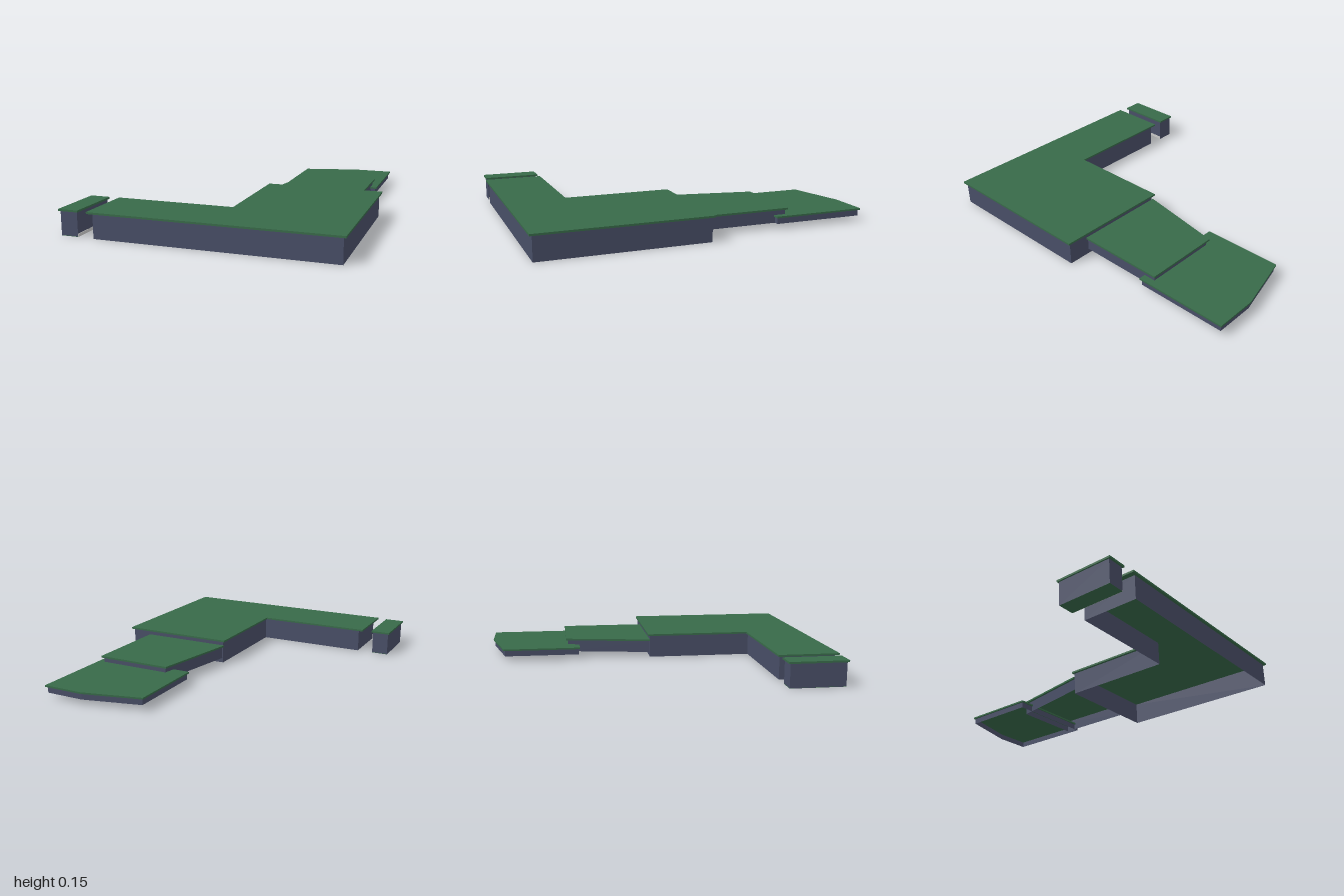
import * as THREE from 'three';

const roofGreen = new THREE.MeshStandardMaterial({ name: 'roofGreen', color: 0x386a49 });
const wallSlate = new THREE.MeshStandardMaterial({ name: 'wallSlate', color: 0x484e66, side: THREE.DoubleSide });
const trimGrey = new THREE.MeshStandardMaterial({ name: 'trimGrey', color: 0xc8c8c8 });

// Flat plate with a plan outline of [x, z] points
function plate(name, outline, y0, y1) {
  const shape = new THREE.Shape(outline.map(([x, z]) => new THREE.Vector2(x, -z)));
  const geo = new THREE.ExtrudeGeometry(shape, { depth: y1 - y0, bevelEnabled: false });
  geo.rotateX(-Math.PI / 2).translate(0, y0, 0);
  const mesh = new THREE.Mesh(geo, roofGreen);
  mesh.name = name;
  return mesh;
}

// Closed ring of thin upright walls, open above and below
function walls(name, outline, y0, y1) {
  const pos = [];
  outline.forEach(([ax, az], i) => {
    const [bx, bz] = outline[(i + 1) % outline.length];
    pos.push(ax, y0, az, bx, y0, bz, bx, y1, bz, ax, y0, az, bx, y1, bz, ax, y1, az);
  });
  const geo = new THREE.BufferGeometry();
  geo.setAttribute('position', new THREE.Float32BufferAttribute(pos, 3));
  geo.computeVertexNormals();
  const mesh = new THREE.Mesh(geo, wallSlate);
  mesh.name = name;
  return mesh;
}

const rect = (x0, x1, z0, z1) => [[x0, z1], [x1, z1], [x1, z0], [x0, z0]];

// Outlines run counter-clockwise seen from above
const wings = [
  {
    name: 'mainWing', base: 0, eave: 0.139, top: 0.15,
    roof: [[-0.615, 1], [0.79, 1], [0.79, 0], [0.085, 0], [0.085, 0.643], [-0.615, 0.643]],
    wall: [[-0.585, 0.985], [0.775, 0.985], [0.775, 0.012], [0.1, 0.012], [0.1, 0.658], [-0.585, 0.658]],
  },
  {
    name: 'middleWing', base: 0.03, eave: 0.104, top: 0.115,
    roof: [[0.092, 0.01], [0.652, 0.01], [0.652, -0.522], [0.19, -0.522]],
    wall: [[0.105, 0.01], [0.64, 0.01], [0.64, -0.51], [0.202, -0.51]],
  },
  {
    name: 'backWing', base: 0.03, eave: 0.066, top: 0.076,
    roof: [[0.085, -0.438], [0.68, -0.438], [0.68, -1], [0.435, -1], [0.085, -0.915]],
    wall: [[0.095, -0.446], [0.67, -0.446], [0.67, -0.99], [0.437, -0.99], [0.095, -0.907]],
  },
  {
    name: 'outbuilding', base: 0, eave: 0.139, top: 0.15,
    roof: rect(-0.793, -0.675, 0.647, 0.988),
    wall: rect(-0.785, -0.684, 0.657, 0.978),
  },
];

export function createModel() {
  const model = new THREE.Group();
  model.name = 'steppedBuilding';
  for (const w of wings) {
    const wing = new THREE.Group();
    wing.name = w.name;
    wing.add(walls(w.name + 'Walls', w.wall, w.base, w.eave));
    wing.add(plate(w.name + 'Roof', w.roof, w.eave, w.top));
    model.add(wing);
  }

  // Floor and pale sill of the detached outbuilding
  const outbuilding = model.getObjectByName('outbuilding');
  outbuilding.add(plate('outbuildingFloor', rect(-0.785, -0.684, 0.657, 0.978), 0, 0.003));
  const sill = new THREE.Mesh(new THREE.BoxGeometry(0.003, 0.018, 0.32), trimGrey);
  sill.name = 'outbuildingSill';
  sill.position.set(-0.6835, 0.0095, 0.8175);
  outbuilding.add(sill);
  return model;
}
